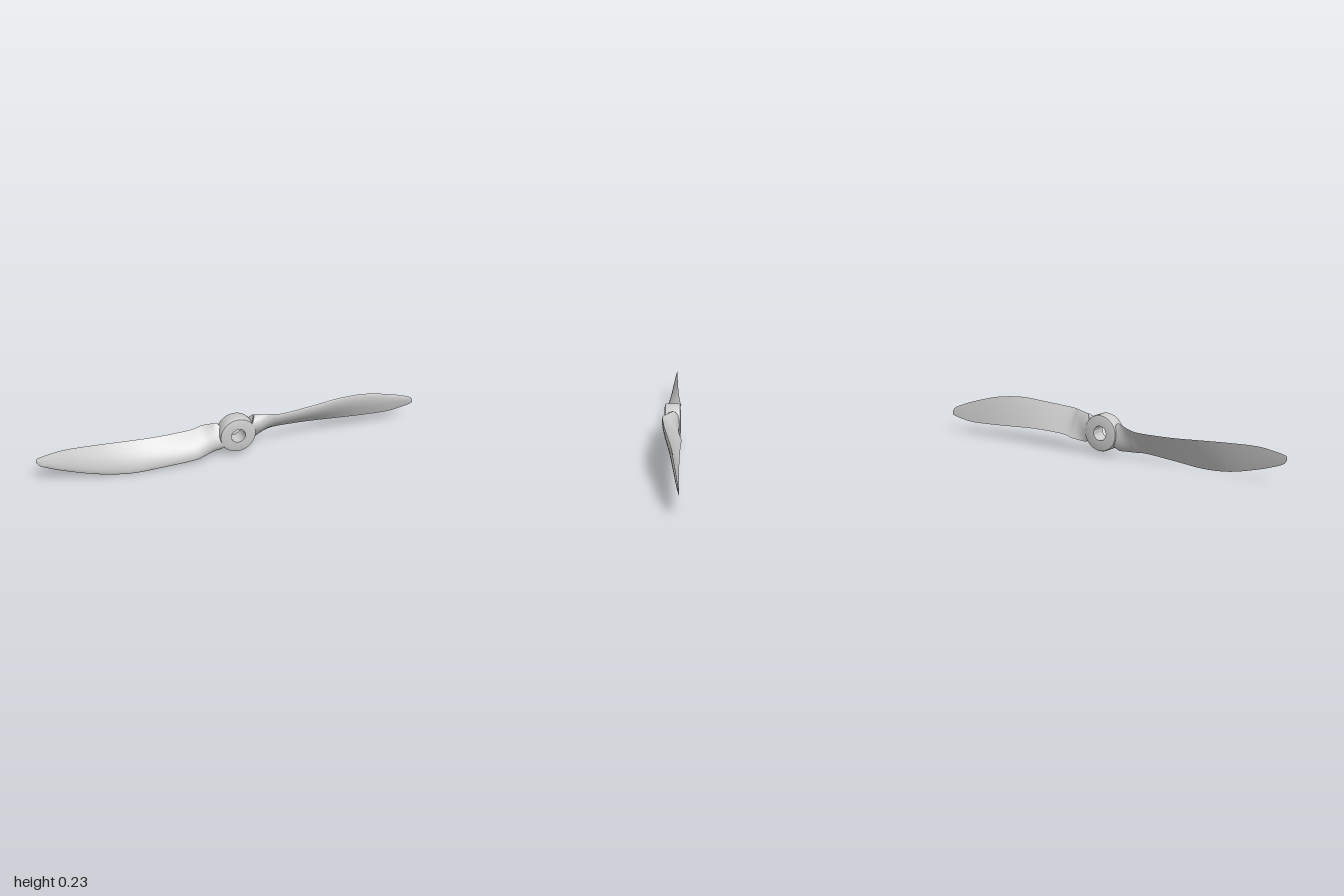
import * as THREE from 'three';
import { toCreasedNormals } from 'three/addons/utils/BufferGeometryUtils.js';

const AXIS_Y = 0.12;

// Stations along the blade: x, leading y/z, trailing y/z, front and back bulge
const STATIONS = [
  [0.06, 0.205, -0.012, 0.06, -0.03, 0.048, 0.026],
  [0.11, 0.206, -0.006, 0.062, -0.035, 0.042, 0.02],
  [0.17, 0.21, 0.018, 0.075, -0.055, 0.028, 0.008],
  [0.23, 0.213, 0.038, 0.088, -0.052, 0.022, 0.001],
  [0.4, 0.226, 0.032, 0.09, -0.044, 0.02, 0.001],
  [0.55, 0.236, 0.02, 0.083, -0.04, 0.017, 0.001],
  [0.7, 0.223, 0.0, 0.075, -0.038, 0.014, 0.001],
  [0.85, 0.186, -0.017, 0.071, -0.037, 0.01, 0.001],
  [0.94, 0.156, -0.027, 0.082, -0.037, 0.007, 0.001],
  [0.985, 0.136, -0.032, 0.092, -0.037, 0.004, 0.001],
  [1.0, 0.116, -0.034, 0.098, -0.037, 0.002, 0.001],
];

const column = (a, b) => new THREE.CatmullRomCurve3(
  STATIONS.map((s) => new THREE.Vector3(s[0], s[a], s[b])), false, 'catmullrom', 0.5);

// Twisted aerofoil loft: rounded leading edge, nearly flat back, closed ends
function bladeGeometry() {
  const leading = column(1, 2), trailing = column(3, 4), bulge = column(5, 6);
  const rings = 60, half = 16, count = half * 2;
  const positions = [], index = [];

  for (let i = 0; i <= rings; i++) {
    const t = i / rings;
    const le = leading.getPoint(t), te = trailing.getPoint(t), b = bulge.getPoint(t);
    const dy = le.y - te.y, dz = le.z - te.z, chord = Math.hypot(dy, dz);
    // The root end is hollowed to wrap around the hub
    const wrap = 0.035 * Math.max(0, 1 - (le.x - 0.06) / 0.06);
    for (let j = 0; j < count; j++) {
      const front = j <= half;
      const u = front ? j / half : (count - j) / half;
      const s = (1 - Math.cos(Math.PI * u)) / 2;
      const off = front
        ? b.y * Math.sin(Math.PI * Math.pow(s, 0.65))
        : -b.z * Math.sin(Math.PI * Math.pow(s, 0.8));
      positions.push(
        le.x + wrap * (2 * s - 1) ** 2,
        le.y - dy * s - (dz / chord) * off - AXIS_Y,
        le.z - dz * s + (dy / chord) * off);
    }
  }

  for (let i = 0; i < rings; i++) {
    for (let j = 0; j < count; j++) {
      const a = i * count + j, b = i * count + (j + 1) % count;
      index.push(a, b, a + count, b, b + count, a + count);
    }
  }
  const tip = rings * count;
  for (let j = 1; j < count - 1; j++) {
    index.push(0, j + 1, j, tip, tip + j, tip + j + 1);
  }

  const geometry = new THREE.BufferGeometry();
  geometry.setAttribute('position', new THREE.Float32BufferAttribute(positions, 3));
  geometry.setIndex(index);
  return toCreasedNormals(geometry, 0.7);
}

// Round hub with softened rims and a through bore
function hubGeometry() {
  const profile = [
    [0.037, -0.05], [0.084, -0.05], [0.091, -0.047], [0.094, -0.04],
    [0.094, 0.02], [0.091, 0.027], [0.084, 0.03], [0.037, 0.03], [0.037, -0.05],
  ].map(([r, y]) => new THREE.Vector2(r, y));
  const geometry = new THREE.LatheGeometry(profile, 64);
  geometry.rotateX(Math.PI / 2);
  return toCreasedNormals(geometry, 0.7);
}

export function createModel() {
  const material = new THREE.MeshStandardMaterial({ color: 0xcccccc });
  const group = new THREE.Group();
  group.name = 'propeller';

  const hub = new THREE.Mesh(hubGeometry(), material);
  hub.name = 'hub';
  hub.position.y = AXIS_Y;
  group.add(hub);

  // Two identical blades, half a turn apart
  const geometry = bladeGeometry();
  ['leftBlade', 'rightBlade'].forEach((name, i) => {
    const blade = new THREE.Mesh(geometry, material);
    blade.name = name;
    blade.position.y = AXIS_Y;
    blade.rotation.z = i * Math.PI;
    group.add(blade);
  });
  return group;
}
